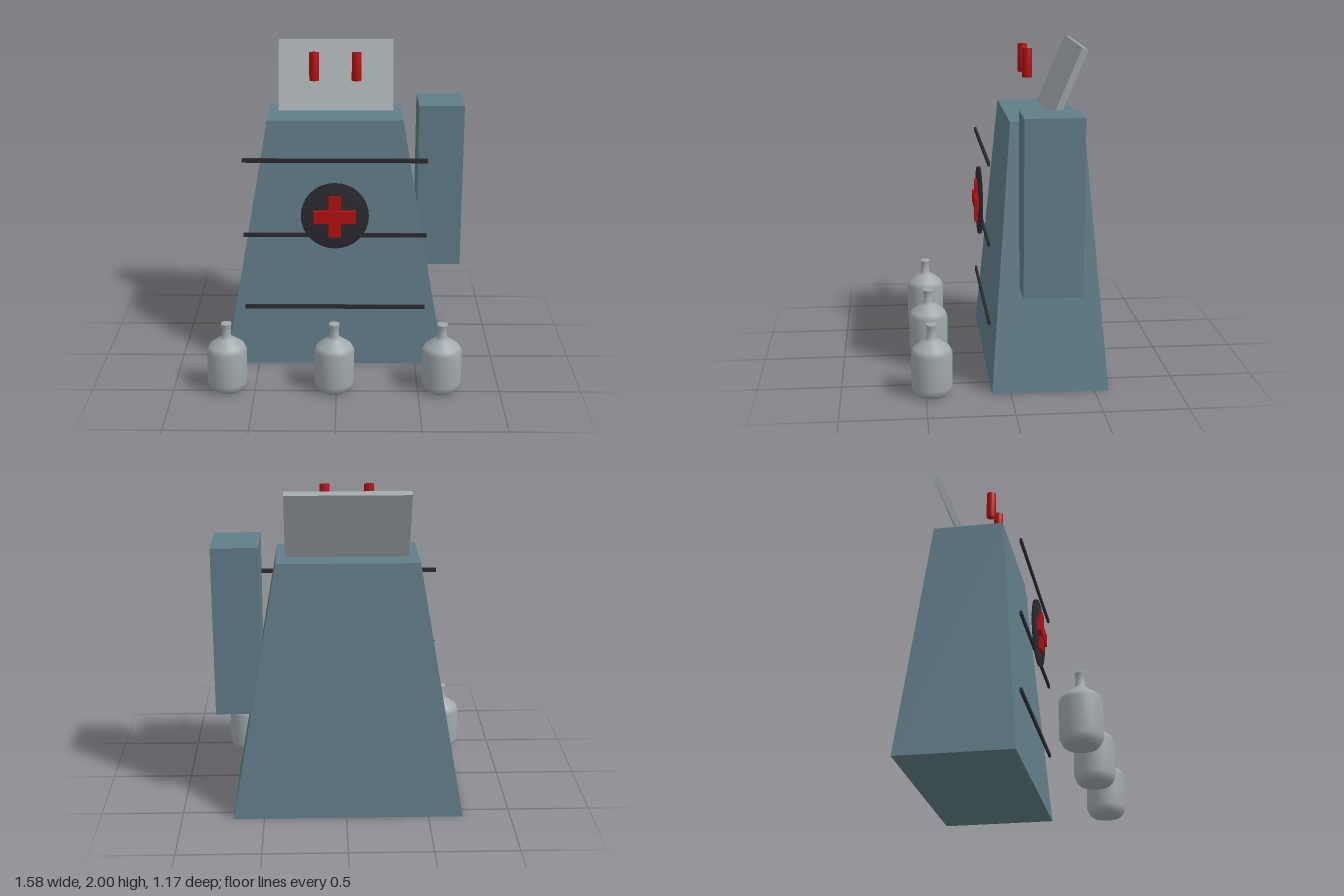
import * as THREE from 'three';
import { mergeVertices } from 'three/addons/utils/BufferGeometryUtils.js';

function material(name, color) {
  const m = new THREE.MeshStandardMaterial({ color });
  m.name = name;
  return m;
}

// Cylinder whose caps and side share averaged normals
function softCylinder(radius, height) {
  const g = new THREE.CylinderGeometry(radius, radius, height, 32);
  g.deleteAttribute('normal');
  g.deleteAttribute('uv');
  const merged = mergeVertices(g);
  merged.computeVertexNormals();
  return merged;
}

export function createModel() {
  const steel = material('blueGrey', 0x607d88);
  const grey = material('paleGrey', 0xa0a8ab);
  const dark = material('charcoal', 0x2b2b30);
  const red = material('red', 0xb51012);
  const model = new THREE.Group();
  model.name = 'robot';
  const cx = -0.012;

  function add(name, geometry, mat, x, y, z) {
    const mesh = new THREE.Mesh(geometry, mat);
    mesh.name = name;
    mesh.position.set(x, y, z);
    model.add(mesh);
    return mesh;
  }
  const box = (w, h, d) => new THREE.BoxGeometry(w, h, d);

  // Tapered body
  const bodyGeo = box(1.395, 1.577, 0.695);
  const p = bodyGeo.attributes.position;
  for (let i = 0; i < p.count; i++) {
    if (p.getY(i) > 0) {
      p.setX(i, p.getX(i) * 0.602);
      p.setZ(i, p.getZ(i) * 0.626);
    }
  }
  bodyGeo.computeVertexNormals();
  add('body', bodyGeo, steel, cx, 0.7885, -0.237);

  // Side box on the left
  add('sideBox', box(0.28, 1.042, 0.345), steel, 0.645, 1.139, -0.235);

  // Leaning face panel with floating eyes
  add('facePanel', box(0.73, 0.49, 0.04), grey, -0.01, 1.766, -0.371).rotation.x = -0.396;
  for (const side of [-1, 1]) {
    add('eye', softCylinder(0.03, 0.172), red, cx + side * 0.131, 1.885, -0.149);
  }

  // Horizontal bars across the front
  for (const y of [0.397, 0.879, 1.36]) {
    add('frontBar', box(1.134, 0.025, 0.014), dark, cx, y, 0.117);
  }

  // Badge: disc with a cross
  add('badgeDisc', softCylinder(0.21, 0.02), dark, cx, 1.01, 0.134).rotation.x = Math.PI / 2;
  add('crossUpright', box(0.075, 0.26, 0.021), red, cx, 1.01, 0.153);
  add('crossBar', box(0.262, 0.078, 0.025), red, cx, 1.01, 0.156);

  // Row of bottles
  const profile = [
    [0, 0], [0.088, 0], [0.106, 0.018], [0.122, 0.055], [0.122, 0.262],
    [0.106, 0.293], [0.045, 0.338], [0.029, 0.35], [0.027, 0.395], [0.028, 0.415],
    [0.033, 0.428], [0.031, 0.435], [0, 0.435],
  ].map(([r, y]) => new THREE.Vector2(r, y));
  const bottleGeo = new THREE.LatheGeometry(profile, 32);
  for (const i of [-1, 0, 1]) {
    add('bottle', bottleGeo, grey, cx + i * 0.656, 0, 0.463);
  }

  return model;
}
